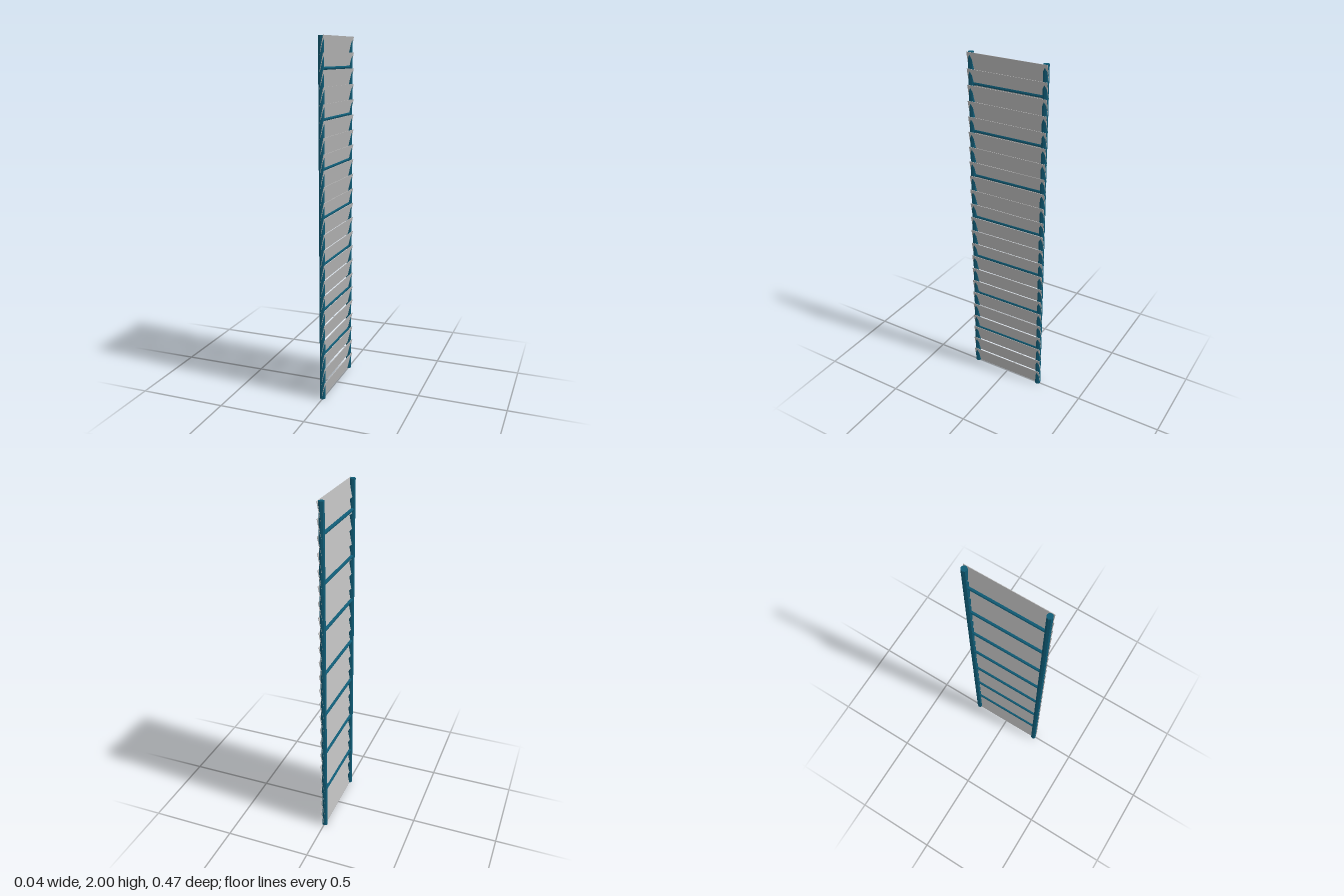
import * as THREE from 'three';

export function createModel() {
  const group = new THREE.Group();
  const teal = new THREE.MeshStandardMaterial({ color: 0x0f5b75, flatShading: true });
  teal.name = 'tealFrame';
  const grey = new THREE.MeshStandardMaterial({ color: 0xbcbcbc, flatShading: true });
  grey.name = 'greySlat';

  const add = (name, geometry, material, x, y, z) => {
    const mesh = new THREE.Mesh(geometry, material);
    mesh.name = name;
    mesh.position.set(x, y, z);
    group.add(mesh);
    return mesh;
  };

  // Two upright posts
  const postZ = 0.218;
  const post = new THREE.CylinderGeometry(0.0165, 0.0165, 2, 8);
  add('frontPost', post, teal, -0.002, 1, postZ);
  add('backPost', post, teal, -0.002, 1, -postZ);

  // Horizontal rails joining the posts behind every third slat
  const rail = new THREE.CylinderGeometry(0.01, 0.01, postZ * 2, 8);
  rail.rotateX(Math.PI / 2);
  for (let i = 0; i < 7; i++) add('rail', rail, teal, -0.004, 0.264 + i * 0.2618, 0);

  // Overlapping slats, each leaning outward at its top
  const slatCount = 23, pitch = 0.0865, slatHeight = 0.097;
  const section = new THREE.Shape([
    new THREE.Vector2(-0.006, 0),
    new THREE.Vector2(-0.003, 0),
    new THREE.Vector2(0.0175, slatHeight),
    new THREE.Vector2(0.0145, slatHeight),
  ]);
  const slatWidth = 0.468;
  const slat = new THREE.ExtrudeGeometry(section, { depth: slatWidth, bevelEnabled: false });
  slat.translate(0, 0, -slatWidth / 2);
  for (let i = 0; i < slatCount; i++) add('slat', slat, grey, 0, i * pitch, 0);

  return group;
}
